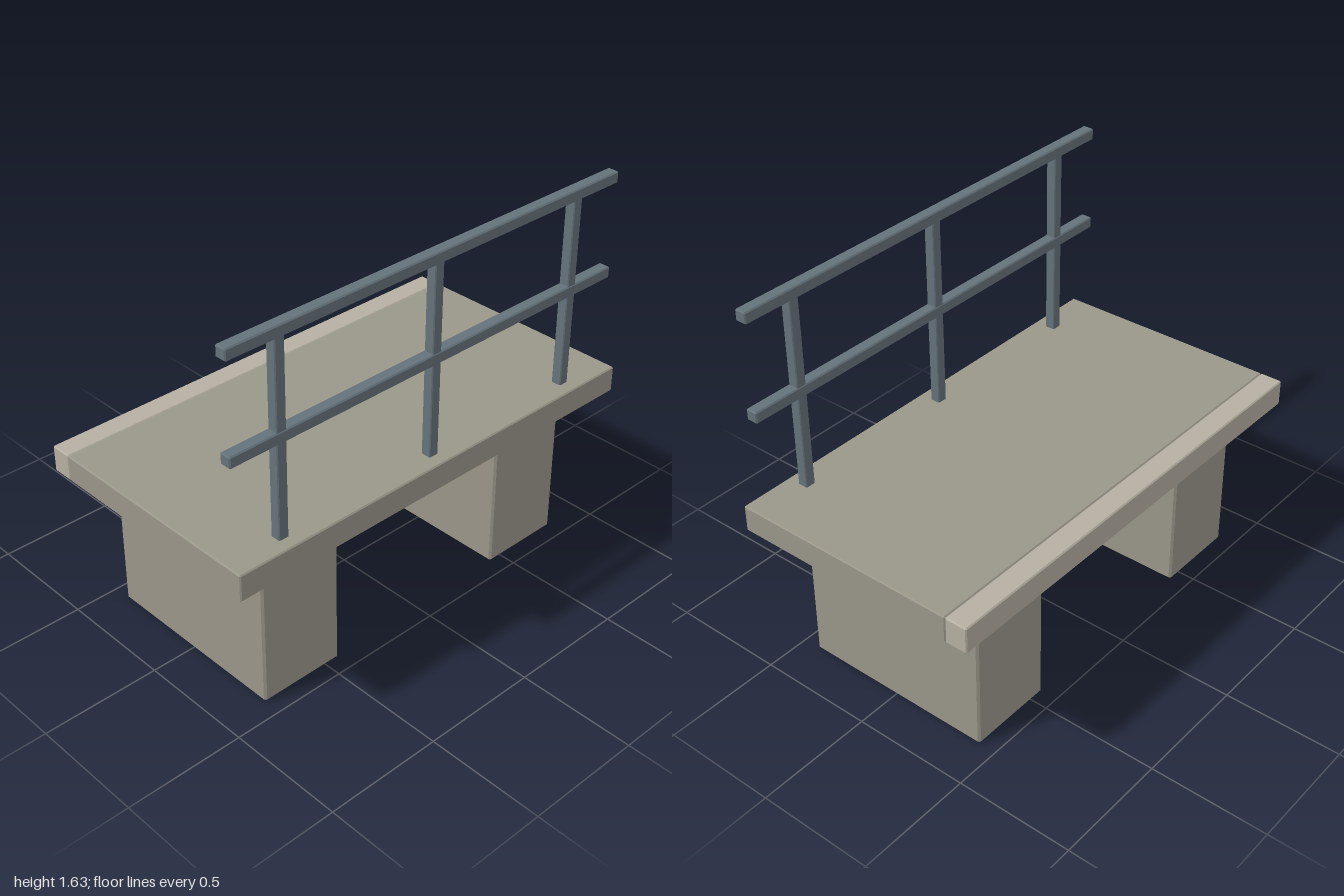
import * as THREE from 'three';
import { ConvexGeometry } from 'three/addons/geometries/ConvexGeometry.js';

// Box with chamfered edges, given by its extents on each axis
function chamferBox(name, [x0, x1], [y0, y1], [z0, z1], bevel, material) {
  const half = [(x1 - x0) / 2, (y1 - y0) / 2, (z1 - z0) / 2];
  const points = [];
  for (const sx of [-1, 1]) for (const sy of [-1, 1]) for (const sz of [-1, 1]) {
    for (let axis = 0; axis < 3; axis++) {
      const p = half.map((h, i) => (i === axis ? h : h - bevel));
      points.push(new THREE.Vector3(sx * p[0], sy * p[1], sz * p[2]));
    }
  }
  const mesh = new THREE.Mesh(new ConvexGeometry(points), material);
  mesh.position.set((x0 + x1) / 2, (y0 + y1) / 2, (z0 + z1) / 2);
  mesh.name = name;
  return mesh;
}

export function createModel() {
  const model = new THREE.Group();
  model.name = 'platform';
  const concrete = new THREE.MeshStandardMaterial({ color: 0x9a968a });
  const paleConcrete = new THREE.MeshStandardMaterial({ color: 0xb5b0a2 });
  const steel = new THREE.MeshStandardMaterial({ color: 0x65727a });

  // Deck and pale edge strip
  model.add(chamferBox('deck', [-0.45, 0.546], [0.655, 0.769], [-1, 1], 0.005, concrete));
  model.add(chamferBox('edgeStrip', [-0.548, -0.45], [0.655, 0.769], [-1, 1], 0.005, paleConcrete));

  // Two supporting piers
  for (const [name, z] of [['frontPier', 0.621], ['backPier', -0.621]]) {
    model.add(chamferBox(name, [-0.427, 0.427], [0, 0.658], [z - 0.187, z + 0.187], 0.009, concrete));
  }

  // Railing: three posts and two rails
  const railing = new THREE.Group();
  railing.name = 'railing';
  for (const [name, z] of [['frontPost', 0.75], ['middlePost', 0], ['backPost', -0.75]]) {
    railing.add(chamferBox(name, [0.445, 0.49], [0.762, 1.59], [z - 0.0225, z + 0.0225], 0.004, steel));
  }
  for (const [name, y] of [['topRail', 1.602], ['middleRail', 1.192]]) {
    railing.add(chamferBox(name, [0.442, 0.493], [y - 0.0245, y + 0.0245], [-0.98, 0.98], 0.005, steel));
  }
  model.add(railing);
  return model;
}
